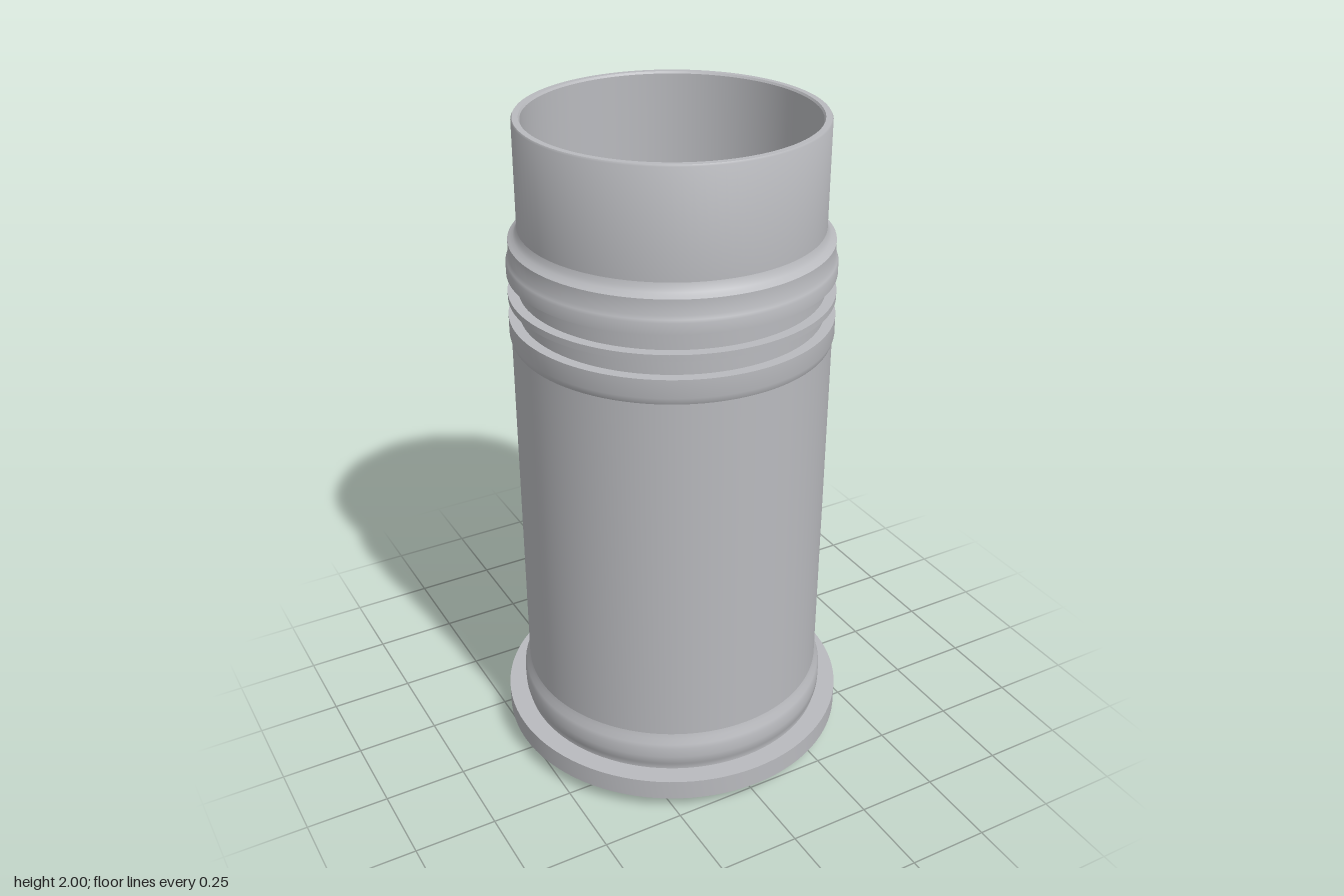
import * as THREE from 'three';
import { toCreasedNormals } from 'three/addons/utils/BufferGeometryUtils.js';

const SEGMENTS = 96;

export function createModel() {
  const group = new THREE.Group();
  const metal = new THREE.MeshStandardMaterial({ color: 0xb9babe });
  metal.name = 'grey metal';

  // Revolves one stretch of the sleeve wall; points are [radius, height]
  const ring = (name, points) => {
    const profile = points.map(([r, y]) => new THREE.Vector2(r, y));
    const geometry = toCreasedNormals(new THREE.LatheGeometry(profile, SEGMENTS), 0.6);
    const mesh = new THREE.Mesh(geometry, metal);
    mesh.name = name;
    group.add(mesh);
  };

  // Foot: bottom face and short spigot under the flange
  ring('foot', [[0.41, 0], [0.463, 0], [0.463, 0.045]]);
  ring('flange', [[0.463, 0.045], [0.534, 0.045], [0.534, 0.11], [0.473, 0.11]]);

  // Rounded bead above the flange
  ring('lowerBead', [
    [0.473, 0.11], [0.473, 0.125], [0.479, 0.135], [0.48, 0.16], [0.479, 0.19],
    [0.475, 0.203], [0.467, 0.22], [0.463, 0.235],
  ]);

  ring('barrel', [[0.463, 0.235], [0.463, 1.355]]);
  ring('collar', [
    [0.463, 1.355], [0.466, 1.362], [0.469, 1.375], [0.469, 1.43], [0.438, 1.43],
  ]);

  // Two seal grooves separated by a thin fin
  ring('lowerGroove', [[0.438, 1.43], [0.438, 1.483]]);
  ring('grooveFin', [[0.438, 1.483], [0.468, 1.483], [0.468, 1.502], [0.438, 1.502]]);
  ring('upperGroove', [[0.438, 1.502], [0.438, 1.558]]);

  // Stepped shoulder that narrows to the top
  ring('shoulder', [
    [0.438, 1.558], [0.469, 1.558], [0.469, 1.592], [0.466, 1.6], [0.461, 1.61],
    [0.461, 1.655], [0.454, 1.66], [0.445, 1.667], [0.438, 1.677], [0.434, 1.69],
  ]);

  ring('topSleeve', [[0.434, 1.69], [0.434, 1.995], [0.431, 2], [0.414, 2], [0.41, 1.994]]);
  ring('bore', [[0.41, 1.994], [0.41, 0]]);

  return group;
}
